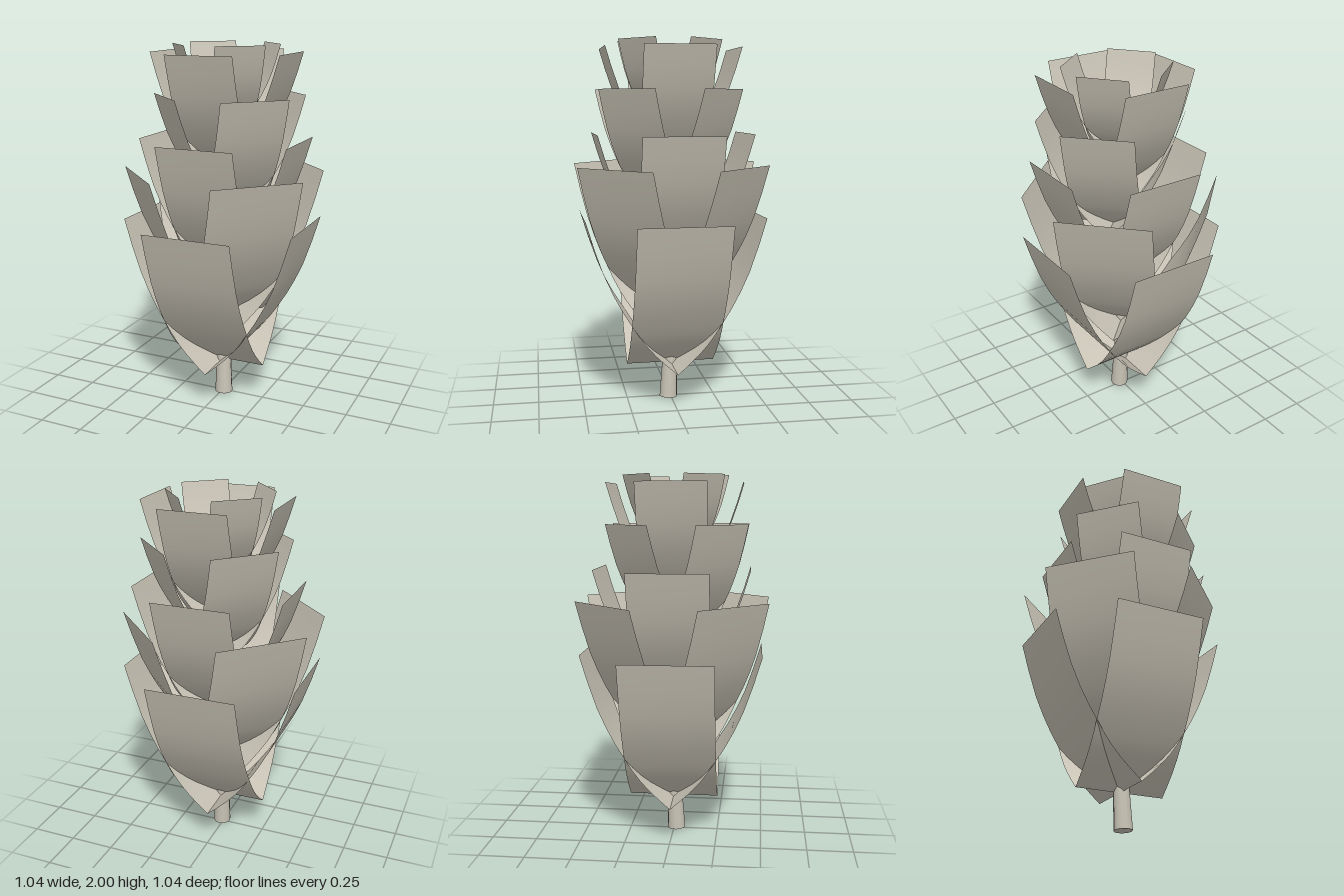
import * as THREE from 'three';

// Side profile of a full-size petal: distance from the axis, height
const PROFILE = new THREE.SplineCurve([
  [0, 0], [0.1, 0.09], [0.18, 0.18], [0.25, 0.285], [0.33, 0.42], [0.41, 0.6], [0.488, 0.85],
].map(([r, h]) => new THREE.Vector2(r, h)));
const SEGMENTS = 10;

// A strip of constant width, bent along the profile
function petalGeometry() {
  const geo = new THREE.PlaneGeometry(0.5, 1, 2, SEGMENTS);
  const pos = geo.attributes.position;
  for (let i = 0; i < pos.count; i++) {
    const p = PROFILE.getPoint(THREE.MathUtils.clamp(pos.getY(i) + 0.5, 0, 1));
    pos.setXYZ(i, pos.getX(i), p.y, p.x);
  }
  geo.computeVertexNormals();
  return geo;
}

// Whorls from bottom to top: centre x, base y, centre z, scale, turn
const WHORLS = [
  [0, 0.2, 0, 1, 0.01],
  [0, 0.48, 0, 1, Math.PI / 4],
  [0.02, 0.77, 0, 0.86, 0.01],
  [0.045, 1.11, 0.02, 0.74, Math.PI / 4],
  [0.03, 1.33, 0.013, 0.74, 0.008],
  [0.021, 1.55, 0.01, 0.53, Math.PI / 4 - 0.08],
];

export function createModel() {
  const model = new THREE.Group();
  model.name = 'layeredBud';
  const petalMaterial = new THREE.MeshStandardMaterial({ color: 0xc9c4b6, side: THREE.DoubleSide });
  petalMaterial.name = 'warm grey';

  // Four crossing petals per whorl
  const geo = petalGeometry();
  WHORLS.forEach(([x, y, z, scale, turn], i) => {
    const whorl = new THREE.Group();
    whorl.name = `whorl${i + 1}`;
    whorl.position.set(x, y, z);
    whorl.scale.setScalar(scale);
    whorl.rotation.y = turn;
    for (let k = 0; k < 4; k++) {
      const petal = new THREE.Mesh(geo, petalMaterial);
      petal.name = `petal${k + 1}`;
      petal.rotation.y = k * Math.PI / 2;
      whorl.add(petal);
    }
    model.add(whorl);
  });

  // Tapered stem: visible foot leaning slightly, then a core inside the petals
  function stemPart(name, from, to, rFrom, rTo) {
    const a = new THREE.Vector3(...from), b = new THREE.Vector3(...to);
    const dir = b.clone().sub(a);
    const part = new THREE.Mesh(new THREE.CylinderGeometry(rTo, rFrom, dir.length(), 12), petalMaterial);
    part.name = name;
    part.position.copy(a).add(b).multiplyScalar(0.5);
    part.quaternion.setFromUnitVectors(new THREE.Vector3(0, 1, 0), dir.normalize());
    model.add(part);
  }
  stemPart('stem', [0.012, 0.002, 0.014], [0.005, 0.3, 0], 0.05, 0.04);
  stemPart('innerStem', [0.005, 0.3, 0], [0.021, 1.56, 0.01], 0.04, 0.02);

  return model;
}
